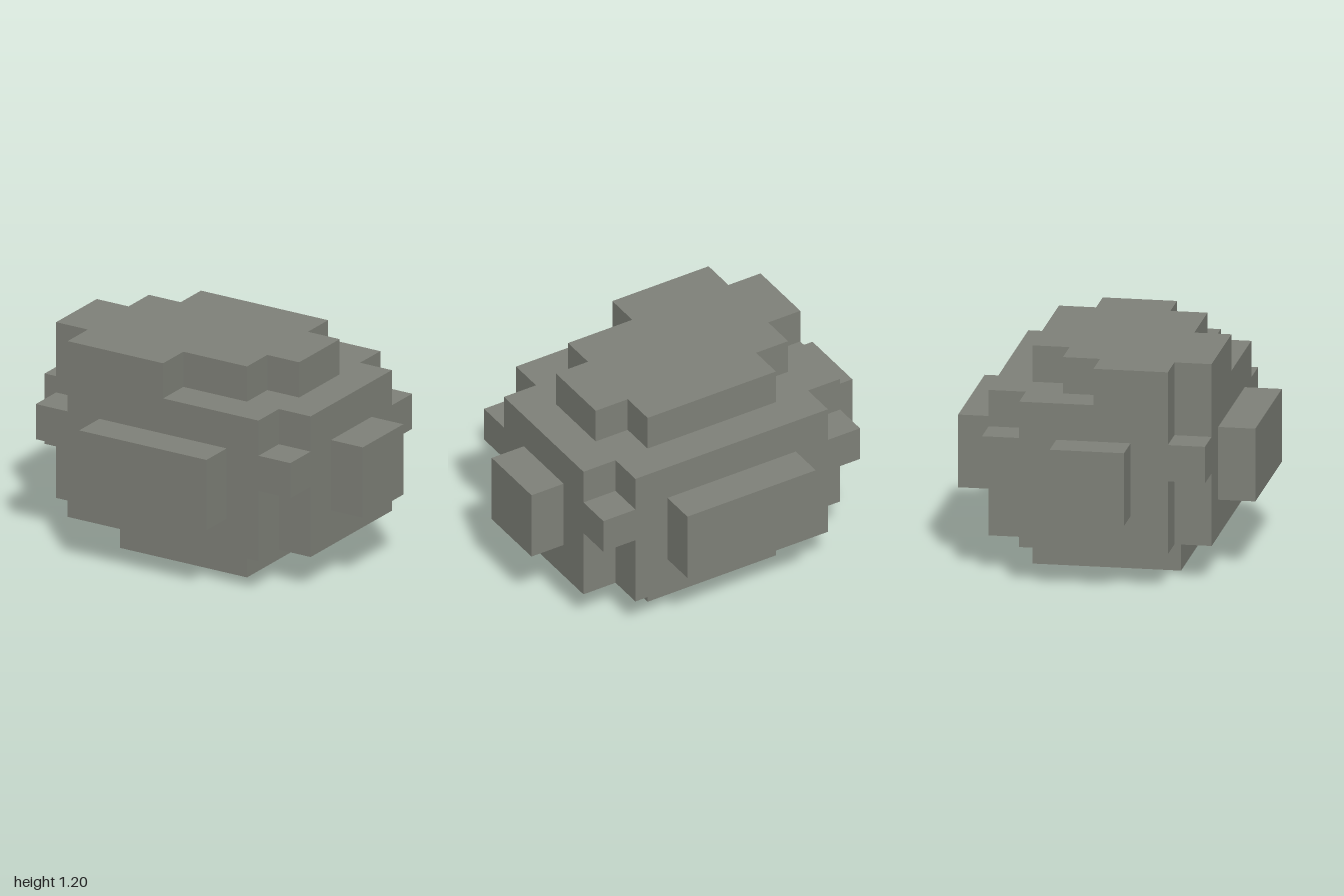
import * as THREE from 'three';

export function createModel() {
  const group = new THREE.Group();
  const stone = new THREE.MeshStandardMaterial({ color: 0x7f8179 });
  stone.name = 'stone grey';

  // horizontal slab from an outline of [x, z] points, between two heights
  function slab(name, outline, y0, y1) {
    const shape = new THREE.Shape(outline.map(([x, z]) => new THREE.Vector2(x, -z)));
    const geo = new THREE.ExtrudeGeometry(shape, { depth: y1 - y0, bevelEnabled: false });
    geo.rotateX(-Math.PI / 2).translate(0, y0, 0);
    const mesh = new THREE.Mesh(geo, stone);
    mesh.name = name;
    group.add(mesh);
  }

  function block(name, w, h, d, x, y, z) {
    const mesh = new THREE.Mesh(new THREE.BoxGeometry(w, h, d), stone);
    mesh.name = name;
    mesh.position.set(x, y, z);
    group.add(mesh);
  }

  // body outline with its four corners cut away
  const notched = [
    [-0.6, 0.6], [0.6, 0.6], [0.6, 0.4], [0.8, 0.4], [0.8, -0.4], [0.6, -0.4],
    [0.6, -0.6], [-0.6, -0.6], [-0.6, -0.4], [-0.8, -0.4], [-0.8, 0.4], [-0.6, 0.4],
  ];
  slab('lowerBody', notched, 0.2, 0.6);
  block('middleBody', 1.6, 0.2, 1.2, 0, 0.7, 0);
  slab('upperBody', notched, 0.8, 1.0);

  // irregular top layer
  slab('topLayer', [
    [-0.6, 0.6], [0, 0.6], [0, 0.4], [0.4, 0.4], [0.4, 0.2], [0.6, 0.2],
    [0.6, -0.2], [0.4, -0.2], [0.4, -0.4], [-0.4, -0.4], [-0.4, -0.2],
    [-0.6, -0.2], [-0.6, 0], [-0.8, 0], [-0.8, 0.4], [-0.6, 0.4],
  ], 1.0, 1.2);

  // base and the raised plates on the four sides
  block('base', 0.8, 0.2, 0.8, 0, 0.1, 0);
  for (const s of [1, -1]) {
    block(s > 0 ? 'frontPlate' : 'backPlate', 0.8, 0.4, 0.2, 0, 0.6, s * 0.7);
    block(s > 0 ? 'leftPlate' : 'rightPlate', 0.2, 0.4, 0.4, s * 0.9, 0.6, 0);
  }
  return group;
}
